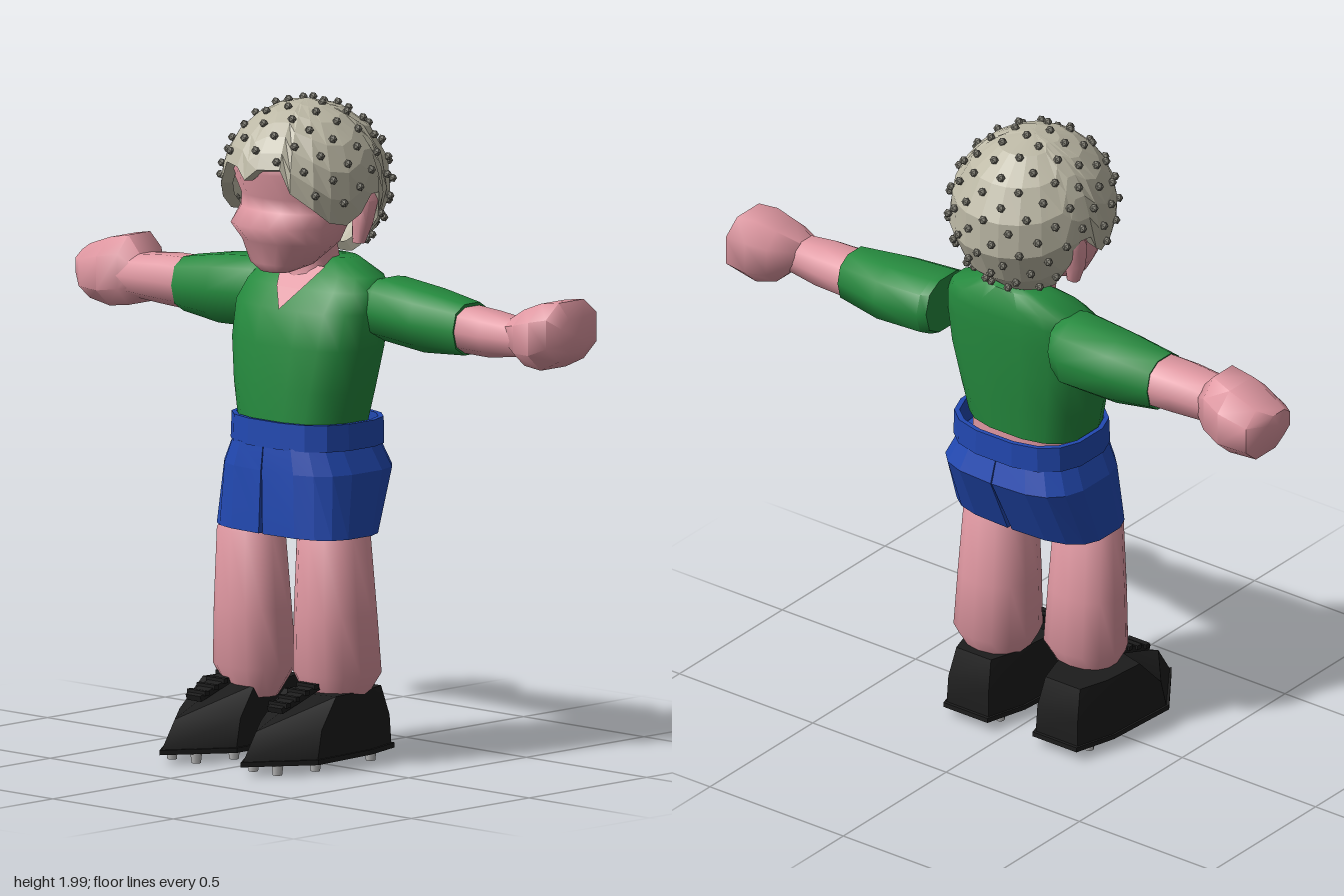
import * as THREE from 'three';
import { mergeGeometries, toCreasedNormals } from 'three/addons/utils/BufferGeometryUtils.js';

const mat = (name, color, opts = {}) =>
  Object.assign(new THREE.MeshStandardMaterial({ color, ...opts }), { name });

// Cross-section across the y axis, given by its extents; p < 1 makes it squarer
const ringY = (y, x0, x1, z0, z1, n = 14, p = 0.75) => ring(n, p, (c, s) =>
  [(x0 + x1) / 2 + c * (x1 - x0) / 2, y, (z0 + z1) / 2 + s * (z1 - z0) / 2]);
// Cross-section across the x axis
const ringX = (x, y0, y1, z0, z1, n = 10, p = 0.8) => ring(n, p, (c, s) =>
  [x, (y0 + y1) / 2 + c * (y1 - y0) / 2, (z0 + z1) / 2 + s * (z1 - z0) / 2]);

function ring(n, p, at) {
  const pow = v => Math.sign(v) * Math.abs(v) ** p;
  return Array.from({ length: n }, (_, i) => {
    const a = (i + 0.5) / n * Math.PI * 2;
    return at(pow(Math.cos(a)), pow(Math.sin(a)));
  });
}

// Skin over a series of rings, with optional caps; faces are turned outward
function loft(rings, { crease = 0.9, caps = true } = {}) {
  const n = rings[0].length, tris = [];
  for (let r = 0; r + 1 < rings.length; r++) for (let i = 0; i < n; i++) {
    const j = (i + 1) % n, [A, B] = [rings[r], rings[r + 1]];
    tris.push([A[i], B[i], B[j]], [A[i], B[j], A[j]]);
  }
  if (caps) for (const [R, flip] of [[rings[0], false], [rings.at(-1), true]]) {
    const mid = [0, 1, 2].map(k => R.reduce((t, v) => t + v[k], 0) / n);
    R.forEach((v, i) => {
      const w = R[(i + 1) % n];
      tris.push(flip ? [mid, w, v] : [mid, v, w]);
    });
  }
  const o = rings[0][0];
  const vol = tris.reduce((t, [a, b, c]) => {
    const [u, v, w] = [a, b, c].map(q => new THREE.Vector3(q[0] - o[0], q[1] - o[1], q[2] - o[2]));
    return t + u.dot(v.cross(w));
  }, 0);
  const pos = tris.flatMap(([a, b, c]) => (vol < 0 ? [a, c, b] : [a, b, c])).flat();
  const g = new THREE.BufferGeometry();
  g.setAttribute('position', new THREE.Float32BufferAttribute(pos, 3));
  return toCreasedNormals(g, crease);
}

export function createModel() {
  const model = new THREE.Group();
  model.name = 'figure';
  const skin = mat('skin', 0xe098a2), green = mat('shirt green', 0x258a3e);
  const blue = mat('shorts blue', 0x2249b2, { side: THREE.DoubleSide }), black = mat('boot black', 0x1c1c1c);
  const hairMat = mat('hair cream', 0xbcb8a5, { side: THREE.DoubleSide });
  const knobMat = mat('knob grey', 0x807e73), cleatMat = mat('cleat grey', 0xb8b8b8);
  const add = (name, geo, m, parent = model) => {
    const mesh = new THREE.Mesh(geo, m);
    mesh.name = name;
    parent.add(mesh);
    return mesh;
  };

  // Head with a softly pointed face, neck and ears
  const headRing = (y, w, z0, z1) => ringY(y, -w, w, z0, z1, 18, 0.88);
  add('head', loft([
    headRing(1.475, 0.05, 0.01, 0.09), headRing(1.5, 0.105, -0.05, 0.105),
    headRing(1.565, 0.155, -0.14, 0.115), headRing(1.617, 0.17, -0.18, 0.163),
    headRing(1.66, 0.177, -0.19, 0.11), headRing(1.7, 0.177, -0.2, 0.107), headRing(1.78, 0.172, -0.2, 0.158),
    headRing(1.82, 0.152, -0.19, 0.148), headRing(1.86, 0.13, -0.18, 0.07)], { crease: 2 }), skin);
  add('neck', loft([
    ringY(1.4, -0.1, 0.1, -0.2, 0), ringY(1.47, -0.08, 0.08, -0.18, -0.03),
    ringY(1.56, -0.08, 0.08, -0.16, -0.01)]), skin);
  for (const s of [-1, 1]) add(s < 0 ? 'rightEar' : 'leftEar', loft([
    ringY(1.56, s * 0.16, s * 0.2, -0.13, -0.1, 8), ringY(1.62, s * 0.16, s * 0.222, -0.15, -0.09, 8),
    ringY(1.69, s * 0.16, s * 0.23, -0.17, -0.09, 8),
    ringY(1.73, s * 0.16, s * 0.22, -0.16, -0.11, 8)]), skin);

  // Hair: faceted shell whose lower edge follows a hairline of [azimuth, polar angle]
  const line = [[0, 82], [10, 74], [28, 73], [36, 89], [52, 101], [64, 111], [78, 114], [89, 106],
    [97, 93], [106, 93], [112, 112], [118, 138], [134, 147], [150, 150], [165, 151], [180, 151]];
  const rad = THREE.MathUtils.degToRad;
  const onHair = (az, th, k = 1) => [
    0.005 + k * 0.243 * Math.sin(rad(th)) * Math.sin(rad(az)),
    1.73 + k * 0.25 * Math.cos(rad(th)),
    -0.07 + k * 0.265 * Math.sin(rad(th)) * Math.cos(rad(az))];
  const hairline = az => {
    const i = Math.max(1, line.findIndex(l => l[0] >= az)), [a, b] = [line[i - 1], line[i]];
    return a[1] + (b[1] - a[1]) * (az - a[0]) / (b[0] - a[0]);
  };
  const edge = [...line, ...line.slice(1, -1).reverse().map(([a, t]) => [-a, t])];
  const hairRings = [0.02, 0.17, 0.33, 0.5, 0.67, 0.84, 1].map(f => edge.map(([a, t]) => onHair(a, t * f)));
  hairRings.push(edge.map(([a, t]) => onHair(a, t, 0.86)));
  add('hair', loft(hairRings, { crease: 0.1, caps: false }), hairMat);
  add('crown', loft([hairRings[0], edge.map(() => onHair(0, 0))], { crease: 0.1, caps: false }), hairMat);

  // Knobs spread evenly over the hair
  const knobs = [], count = 150;
  for (let i = 0; i < count; i++) {
    const th = Math.acos(1 - 2 * (i + 0.5) / count) * 180 / Math.PI;
    const az = (i * 137.508) % 360 - 180;
    if (th > hairline(Math.abs(az)) - 5) continue;
    knobs.push(new THREE.IcosahedronGeometry(0.0135, 0).translate(...onHair(az, th, 1.015)));
  }
  add('hairKnobs', mergeGeometries(knobs), knobMat);

  // Shirt body with a V-shaped neck opening
  add('shirt', loft([
    ringY(1.02, -0.2, 0.205, -0.21, 0.09, 16), ringY(1.12, -0.225, 0.23, -0.22, 0.085, 16),
    ringY(1.25, -0.25, 0.26, -0.23, 0.07, 16), ringY(1.36, -0.25, 0.27, -0.235, 0.05, 16),
    ringY(1.42, -0.24, 0.262, -0.235, 0.0, 16), ringY(1.46, -0.215, 0.235, -0.23, -0.04, 16),
    ringY(1.505, -0.11, 0.12, -0.21, -0.1, 16)], { crease: 1.1 }), green);
  const vNeck = new THREE.BufferGeometry();
  vNeck.setAttribute('position', new THREE.Float32BufferAttribute([
    0.015, 1.36, 0.056, 0.06, 1.42, 0.008, -0.04, 1.42, 0.008,
    -0.04, 1.42, 0.008, 0.06, 1.42, 0.008, 0.1, 1.485, -0.055,
    -0.04, 1.42, 0.008, 0.1, 1.485, -0.055, -0.08, 1.485, -0.055], 3));
  vNeck.computeVertexNormals();
  add('neckOpening', vNeck, skin);
  add('waist', loft([
    ringY(0.95, -0.19, 0.195, -0.2, 0.08), ringY(1.03, -0.19, 0.195, -0.2, 0.08)]), skin);

  // Arms held out to the sides
  add('rightSleeve', loft([
    ringX(-0.18, 1.28, 1.46, -0.24, -0.06), ringX(-0.23, 1.25, 1.475, -0.265, -0.05),
    ringX(-0.4, 1.245, 1.46, -0.25, -0.055), ringX(-0.545, 1.265, 1.435, -0.23, -0.06)]), green);
  add('rightForearm', loft([
    ringX(-0.5, 1.27, 1.432, -0.228, -0.062), ringX(-0.62, 1.275, 1.43, -0.225, -0.06),
    ringX(-0.78, 1.285, 1.415, -0.215, -0.065)]), skin);
  add('rightHand', loft([
    ringX(-0.715, 1.29, 1.41, -0.21, -0.075, 8), ringX(-0.775, 1.25, 1.475, -0.26, -0.06, 8),
    ringX(-0.85, 1.24, 1.46, -0.29, -0.045, 8), ringX(-0.95, 1.25, 1.425, -0.28, -0.075, 8),
    ringX(-0.985, 1.31, 1.4, -0.22, -0.1, 8)]), skin);
  add('leftSleeve', loft([
    ringX(0.245, 1.28, 1.46, -0.28, -0.065), ringX(0.27, 1.27, 1.46, -0.295, -0.06),
    ringX(0.44, 1.255, 1.445, -0.285, -0.06), ringX(0.6, 1.265, 1.425, -0.25, -0.085)]), green);
  add('leftForearm', loft([
    ringX(0.55, 1.272, 1.418, -0.248, -0.09), ringX(0.7, 1.272, 1.41, -0.24, -0.088),
    ringX(0.84, 1.29, 1.395, -0.225, -0.105)]), skin);
  add('leftHand', loft([
    ringX(0.78, 1.32, 1.4, -0.23, -0.11, 8), ringX(0.84, 1.26, 1.44, -0.29, -0.09, 8),
    ringX(0.9, 1.25, 1.465, -0.32, -0.09, 8), ringX(0.955, 1.28, 1.47, -0.34, -0.11, 8),
    ringX(0.985, 1.31, 1.42, -0.28, -0.15, 8)]), skin);

  // Shorts: open waistband over two flared legs that meet along the middle
  add('waistband', loft([
    ringY(0.95, -0.225, 0.235, -0.265, 0.112, 16), ringY(1.03, -0.222, 0.232, -0.265, 0.11, 16),
    ringY(1.03, -0.207, 0.217, -0.25, 0.097, 16), ringY(0.95, -0.207, 0.217, -0.25, 0.097, 16)],
  { crease: 0.1, caps: false }), blue);
  for (const s of [-1, 1]) {
    const half = (y, w, z0, z1, gap) => ringY(y, -w + 0.003, w + 0.003, z0, z1, 18, 0.65)
      .map(([x, , z]) => [s * Math.max(s * x, gap), y, z]);
    add(s < 0 ? 'rightShortsLeg' : 'leftShortsLeg', loft([
      half(0.69, 0.262, -0.19, 0.118, 0.008), half(0.88, 0.247, -0.28, 0.116, 0.001),
      half(0.955, 0.21, -0.255, 0.108, 0)], { crease: 0.1 }), blue);
  }

  // Legs, the right one slightly ahead, ending inside the shorts
  for (const [name, x, back, front] of [['rightLeg', -0.133, -0.1, 0.114], ['leftLeg', 0.14, -0.19, 0.06]]) {
    const legRing = (y, w, z0, z1) => ringY(y, x - w, x + w, z0, z1, 14, 0.92);
    add(name, loft([
      legRing(0.18, 0.08, back + 0.05, front - 0.04), legRing(0.27, 0.132, back, front),
      legRing(0.45, 0.124, back + 0.015, front), legRing(0.68, 0.11, back + 0.035, front - 0.006),
      legRing(0.72, 0.09, back + 0.06, front - 0.03)]), skin);
  }

  // Boots with laces and cleats
  const boot = (name, x, z) => {
    const g = new THREE.Group();
    g.name = name;
    g.position.set(x, 0, z);
    const outline = (y, w, tip, ball, heel) => [[0, tip], [w, ball], [w * 0.88, -0.08], [w * 0.6, heel],
      [-w * 0.6, heel], [-w * 0.88, -0.08], [-w, ball]].map(([px, pz]) => [px, y, pz]);
    add('bootUpper', loft([outline(0.045, 0.13, 0.345, 0.16, -0.205), outline(0.13, 0.126, 0.29, 0.14, -0.2),
      outline(0.22, 0.108, 0.09, 0.06, -0.175)], { crease: 0.6 }), black, g);
    add('sole', loft([outline(0.03, 0.137, 0.355, 0.165, -0.215), outline(0.045, 0.137, 0.355, 0.165, -0.215)],
      { crease: 0.1 }), black, g);
    for (let i = 0; i < 4; i++) add('lace', new THREE.BoxGeometry(0.075, 0.014, 0.018)
      .translate(0, 0.2 + i * 0.014, 0.19 - i * 0.04), black, g);
    add('tongue', new THREE.BoxGeometry(0.06, 0.018, 0.17).rotateX(0.33).translate(0, 0.212, 0.13), black, g);
    for (const [cx, cz] of [[0.05, 0.25], [0.08, 0.12], [0.065, -0.13]]) for (const s of [-1, 1])
      add('cleat', new THREE.CylinderGeometry(0.018, 0.014, 0.034, 8).translate(s * cx, 0.017, cz), cleatMat, g);
    model.add(g);
  };
  boot('rightBoot', -0.183, 0.005);
  boot('leftBoot', 0.138, -0.012);
  return model;
}
